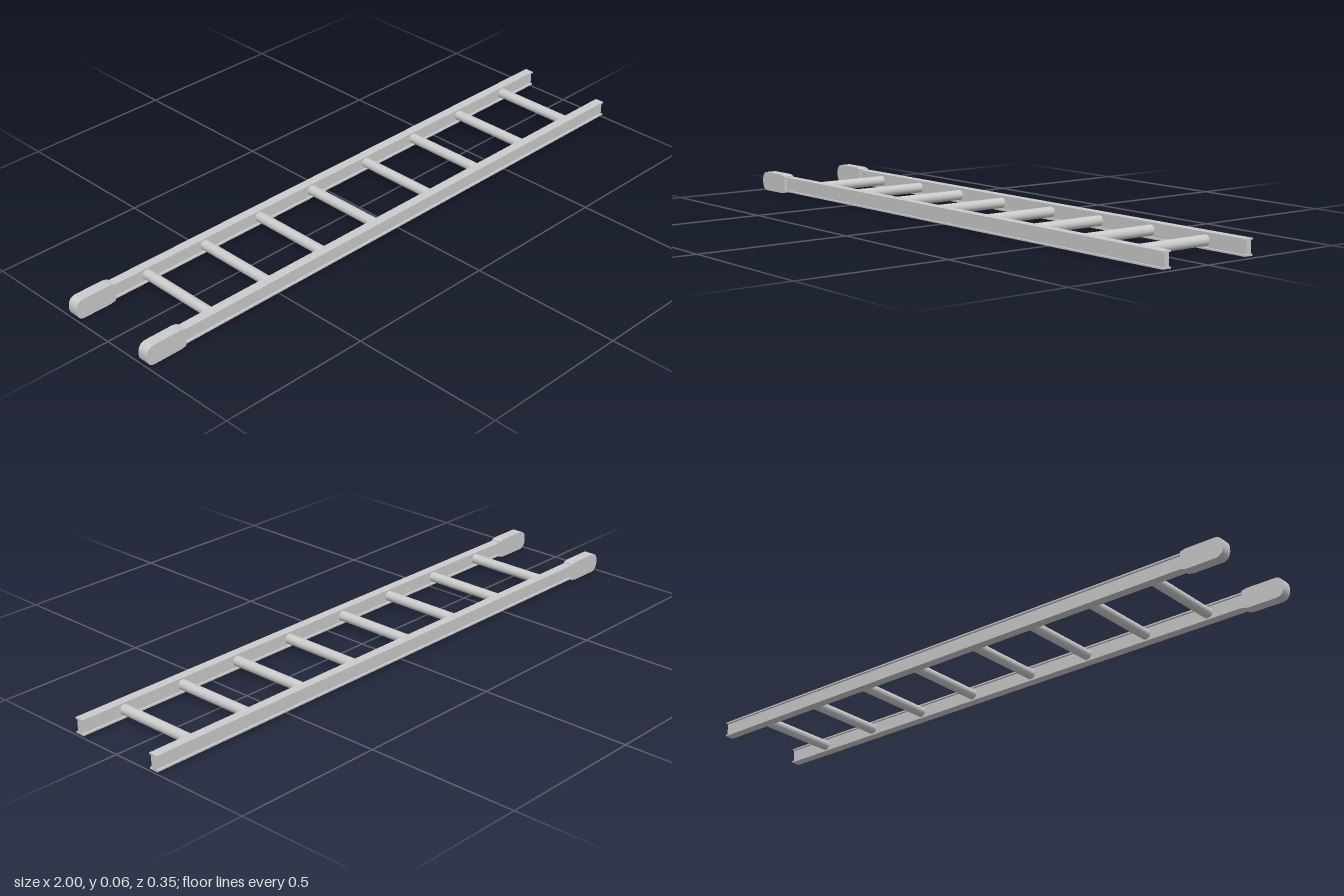
import * as THREE from 'three';

const MID_Y = 0.032;   // height of the ladder's centre plane
const RAIL_Z = 0.156;  // rail distance from the centre line

export function createModel() {
  const ladder = new THREE.Group();
  ladder.name = 'ladder';
  const material = new THREE.MeshStandardMaterial({ color: 0xcccccc });

  const add = (name, geometry, x, y, z) => {
    const mesh = new THREE.Mesh(geometry, material);
    mesh.name = name;
    mesh.position.set(x, y, z);
    ladder.add(mesh);
    return mesh;
  };

  // I-beam section, extruded along the ladder
  const w = 0.0155, h = 0.025, web = 0.0085, flange = 0.005;
  const section = new THREE.Shape([
    [-w, -h], [w, -h], [w, -h + flange], [web, -h + flange],
    [web, h - flange], [w, h - flange], [w, h], [-w, h],
    [-w, h - flange], [-web, h - flange], [-web, -h + flange], [-w, -h + flange],
  ].map(([a, b]) => new THREE.Vector2(a, b)));
  const railStart = -0.9;
  const railGeometry = new THREE.ExtrudeGeometry(section, { depth: 1 - railStart, bevelEnabled: false });
  railGeometry.rotateY(Math.PI / 2);

  // Foot profile: rounded toe, tapering where it meets the rail
  const r = 0.026, top = 0.032, toe = -1, heel = -0.86;
  const profile = new THREE.Shape();
  profile.moveTo(heel, -0.028);
  profile.lineTo(heel, 0.028);
  profile.lineTo(heel - 0.018, top);
  profile.lineTo(toe + r, top);
  profile.quadraticCurveTo(toe + 0.003, top - 0.001, toe, top - r);
  profile.lineTo(toe, r - top);
  profile.quadraticCurveTo(toe + 0.003, 0.001 - top, toe + r, -top);
  profile.lineTo(heel - 0.018, -top);
  profile.closePath();
  const footDepth = 0.036;
  const footGeometry = new THREE.ExtrudeGeometry(profile, {
    depth: footDepth, bevelEnabled: false, curveSegments: 8,
  });
  footGeometry.translate(0, 0, -footDepth / 2);

  for (const [side, z] of [['front', RAIL_Z], ['back', -RAIL_Z]]) {
    add(`${side}Rail`, railGeometry, railStart, MID_Y, z);
    add(`${side}Foot`, footGeometry, 0, MID_Y, z);
  }

  // Round rungs between the rail webs, with a wider gap at the middle
  const rungGeometry = new THREE.CylinderGeometry(0.0165, 0.0165, 2 * RAIL_Z - 0.01, 24);
  rungGeometry.rotateX(Math.PI / 2);
  for (const firstX of [-0.735, 0.175]) {
    for (let i = 0; i < 4; i++) {
      add('rung', rungGeometry, firstX + i * 0.2225, MID_Y, 0);
    }
  }

  return ladder;
}
